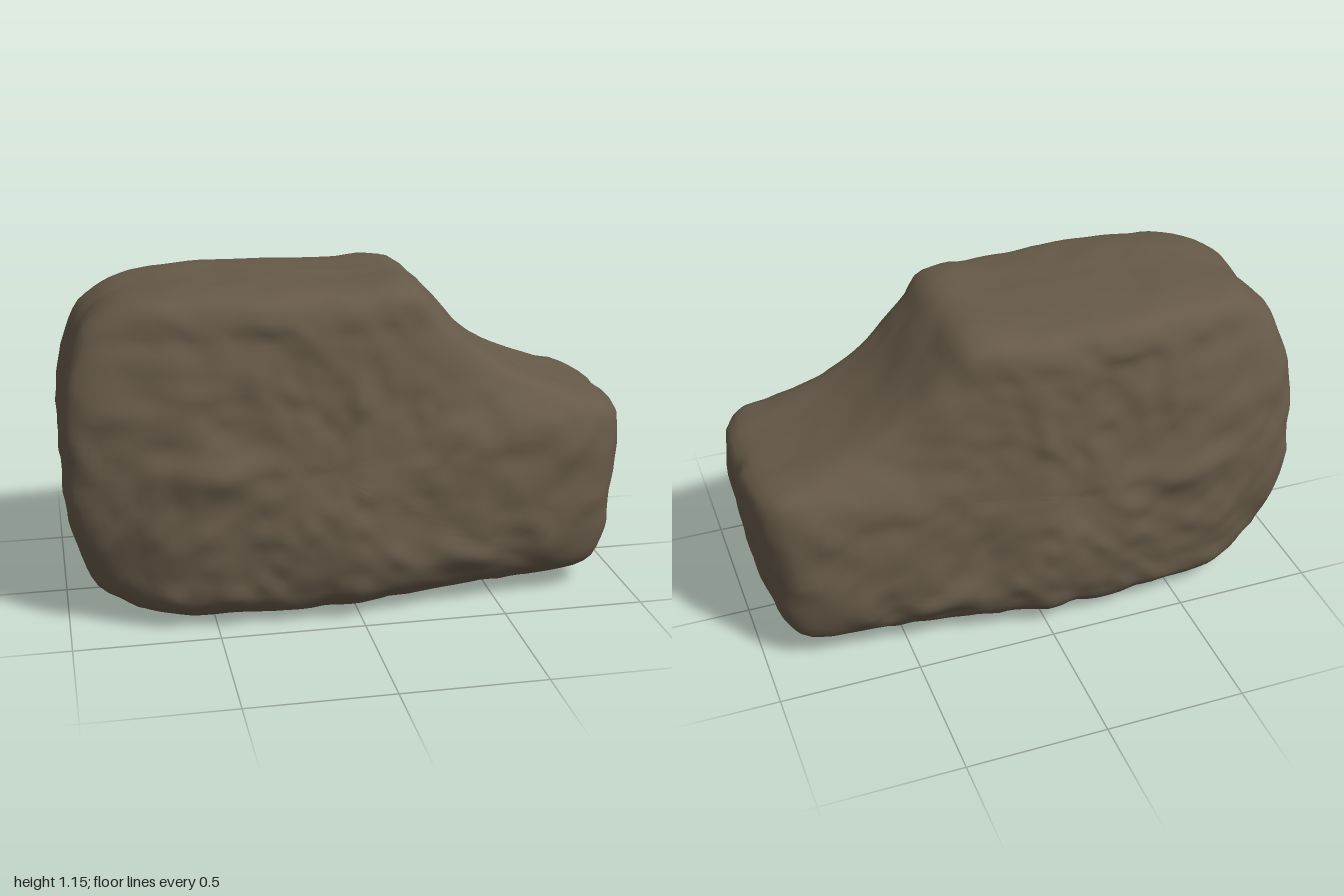
import * as THREE from 'three';

const stone = new THREE.MeshStandardMaterial({ color: 0x665948 });
stone.name = 'brown stone';

// Boulder outline seen from the front, clockwise from the left end
const outline = [
  [-1, .72], [-.97, .9], [-.91, 1.03], [-.82, 1.09], [-.65, 1.135], [-.3, 1.145], [0, 1.14], [.23, 1.14],
  [.32, 1.05], [.44, .92], [.64, .785], [.82, .72], [.98, .66], [.995, .55], [.97, .38], [.94, .18],
  [.88, .08], [.78, .045], [.5, .025], [.2, .015], [-.2, .005], [-.75, .03], [-.9, .12], [-.97, .32], [-1, .45],
];
// Rounding of the faces into the rim: outline scale, depth share
const rounding = [[0, 1], [.3, 1], [.55, .99], [.75, .95], [.88, .88], [.95, .79], [.985, .65], [1, .4], [1, 0]];
// Half depth by height, and its change along the length
const depthByHeight = [[0, .48], [.1, .5], [.25, .485], [.4, .465], [.6, .44], [.8, .405], [1, .385], [1.1, .4], [1.2, .4]];
const depthByLength = [[-1, .98], [-.85, .95], [-.65, .98], [-.3, 1], [0, 1], [.2, .92], [.35, .89], [.6, .89], [.9, .93], [1, .88]];
// Local lumps, hollows and cut corners of the two faces: x, y, radius x, radius y, height
const lumps = [
  [-.26, .52, .08, .09, .02], [-.3, 1.04, .05, .04, .02], [-.05, .42, .16, .12, .02],
  [.15, .33, .12, .1, -.015], [-.5, .56, .12, .05, .015], [.4, .2, .14, .05, .015],
  [-.95, 1.08, .25, .2, -.06], [-.95, .05, .25, .18, -.08], [.7, .02, .35, .13, -.06],
  [.6, .75, .25, .1, -.03],
];

function lookup(table, t) {
  for (let i = 1; i < table.length; i++) {
    const [a, va] = table[i - 1], [b, vb] = table[i];
    if (t <= b) return va + (vb - va) * Math.max(0, (t - a) / (b - a));
  }
  return table[table.length - 1][1];
}

// Smooth seeded lattice noise in -1..1
function hash(x, y, z) {
  let h = Math.imul(x, 374761393) + Math.imul(y, 668265263) + Math.imul(z, 1274126177);
  h = Math.imul(h ^ (h >>> 13), 1103515245);
  return ((h ^ (h >>> 16)) >>> 0) / 2147483648 - 1;
}
function noise(x, y, z) {
  const c = [x, y, z].map(Math.floor);
  const t = [x, y, z].map((v, i) => (v - c[i]) ** 2 * (3 - 2 * (v - c[i])));
  let sum = 0;
  for (let k = 0; k < 8; k++) {
    const b = [k & 1, (k >> 1) & 1, k >> 2];
    const w = b.reduce((m, v, i) => m * (v ? t[i] : 1 - t[i]), 1);
    sum += w * hash(c[0] + b[0], c[1] + b[1], c[2] + b[2]);
  }
  return sum;
}
const rough = (x, y, z) =>
  .4 * noise(x * 4, y * 4, z * 4) + .35 * noise(x * 9, y * 9, z * 9) + .25 * noise(x * 17, y * 17, z * 17);

function rockGeometry() {
  const around = 150, half = 50, cx = -.1, cy = .55;
  const curve = new THREE.CatmullRomCurve3(outline.map(([x, y]) => new THREE.Vector3(x, y, 0)), true);
  const rim = curve.getSpacedPoints(around);
  const profile = new THREE.SplineCurve(rounding.map(([f, d]) => new THREE.Vector2(f, d))).getSpacedPoints(half);
  const positions = [], index = [];

  // Rings from the middle of the front face, over the rim, to the middle of the back
  for (let r = 0; r <= 2 * half; r++) {
    const side = r <= half ? 1 : -1;
    const { x: f, y: d } = profile[half - Math.abs(r - half)];
    for (let j = 0; j < around; j++) {
      const x = cx + (rim[j].x - cx) * f, y = cy + (rim[j].y - cy) * f;
      let depth = lookup(depthByHeight, y) * lookup(depthByLength, x) + .035 * rough(x + 5, y + 3, 7);
      for (const [lx, ly, rx, ry, h] of lumps) {
        depth += h * Math.exp(-(((x - lx) / rx) ** 2) - ((y - ly) / ry) ** 2);
      }
      const z = d * depth;
      const swell = 1 + f * f * .02 * rough(x + 11, y + 2, z + 4);
      // The left end is slightly hollow between its two corners
      const hollow = .03 * Math.exp(-((z / .15) ** 2)) * THREE.MathUtils.smoothstep(-x, .8, .97);
      positions.push(cx + (x - cx) * swell + hollow, Math.max(0, cy + (y - cy) * swell), side * z);
    }
  }
  for (let r = 0; r < 2 * half; r++) {
    for (let j = 0; j < around; j++) {
      const k = (j + 1) % around;
      const a = r * around + j, b = r * around + k, c = a + around, e = b + around;
      if (r > 0) index.push(a, b, c);
      if (r < 2 * half - 1) index.push(b, e, c);
    }
  }
  const geometry = new THREE.BufferGeometry();
  geometry.setAttribute('position', new THREE.Float32BufferAttribute(positions, 3));
  geometry.setIndex(index);
  geometry.computeVertexNormals();
  return geometry;
}

export function createModel() {
  const group = new THREE.Group();
  group.name = 'rock';
  const boulder = new THREE.Mesh(rockGeometry(), stone);
  boulder.name = 'boulder';
  group.add(boulder);
  return group;
}
